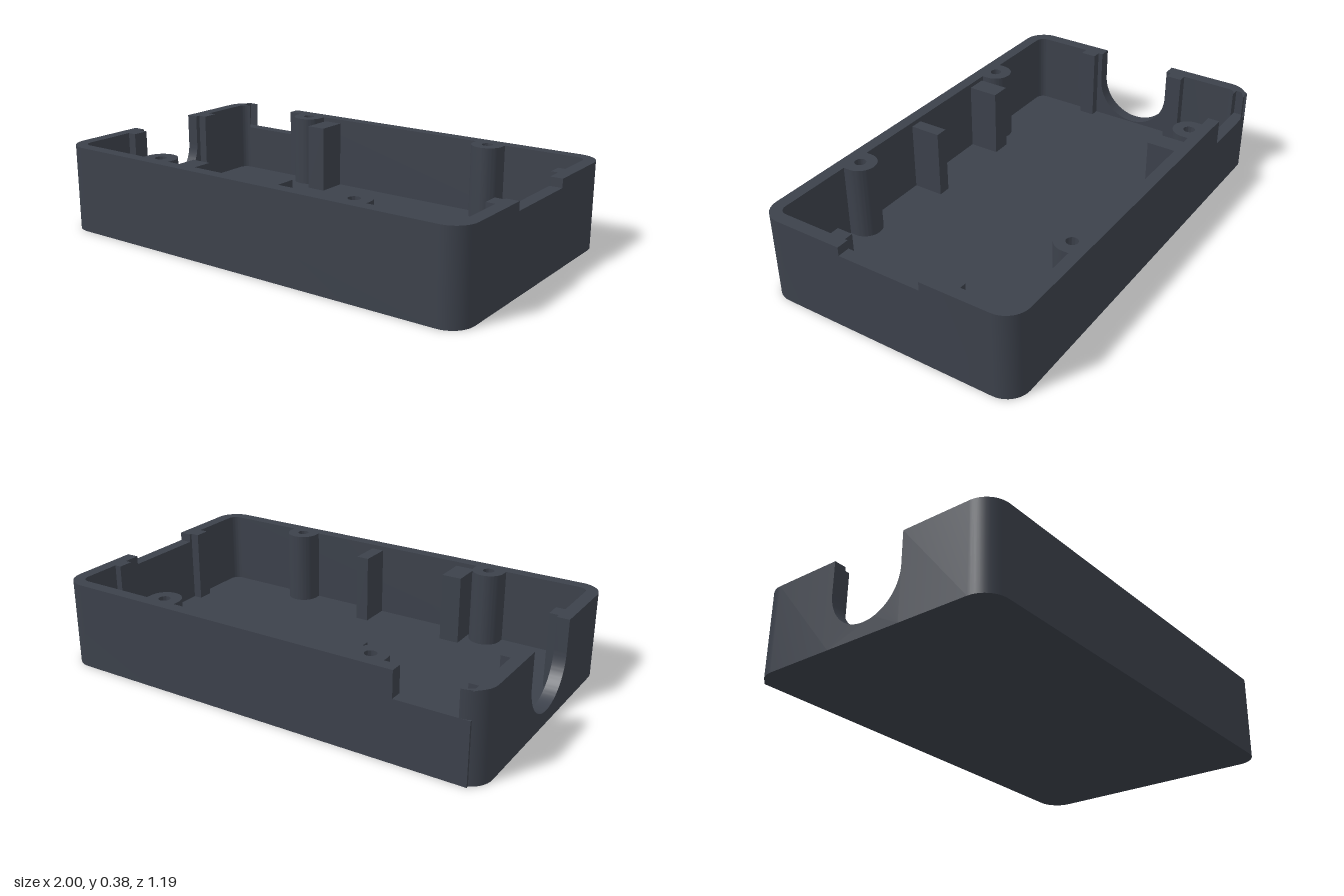
import * as THREE from 'three';
import { toCreasedNormals } from 'three/addons/utils/BufferGeometryUtils.js';

const W = 1, D = 0.593, H = 0.383;      // outer half width, half depth, height
const IW = 0.945, ID = 0.54;            // inner half width and depth
const FLOOR = 0.055;

// Arc points of one plan corner: 0 = +x+z, 1 = -x+z, 2 = -x-z, 3 = +x-z
function corner(k, hw, hd, r) {
  const sx = k === 0 || k === 3 ? 1 : -1;
  const sz = k < 2 ? 1 : -1;
  const pts = [];
  for (let i = 0; i <= 10; i++) {
    const a = (k + i / 10) * Math.PI / 2;
    pts.push(new THREE.Vector2(sx * (hw - r) + r * Math.cos(a), sz * (hd - r) + r * Math.sin(a)));
  }
  return pts;
}
const outer = (k) => corner(k, W, D, 0.1);
const inner = (k) => corner(k, IW, ID, 0.04);

// Extrude an (x, z) plan upwards from y0 to y1
function extrudeUp(shape, y0, y1) {
  const g = new THREE.ExtrudeGeometry(shape, { depth: y1 - y0, bevelEnabled: false, curveSegments: 24 });
  g.rotateX(Math.PI / 2);
  g.translate(0, y1, 0);
  return toCreasedNormals(g, 0.5);
}

// Wall strip that runs round the given corners between two cut ends
function wallStrip(corners, outStart, inStart, outEnd, inEnd) {
  const v = (p) => new THREE.Vector2(p[0], p[1]);
  const out = [v(outStart), ...corners.flatMap(outer), v(outEnd)];
  const back = [v(inStart), ...corners.flatMap(inner), v(inEnd)].reverse();
  return extrudeUp(new THREE.Shape([...out, ...back]), 0, H);
}

export function createModel() {
  const group = new THREE.Group();
  const plastic = new THREE.MeshStandardMaterial({ color: 0x3c414b });
  plastic.name = 'dark slate plastic';

  const add = (name, geometry) => {
    const mesh = new THREE.Mesh(geometry, plastic);
    mesh.name = name;
    group.add(mesh);
    return mesh;
  };
  const block = (name, x0, x1, y0, y1, z0, z1) =>
    add(name, new THREE.BoxGeometry(x1 - x0, y1 - y0, z1 - z0))
      .position.set((x0 + x1) / 2, (y0 + y1) / 2, (z0 + z1) / 2);

  // Floor
  add('floor', extrudeUp(new THREE.Shape([0, 1, 2, 3].flatMap(inner)), 0, FLOOR));

  // Full-height walls between the openings
  const u = 0.178, n = 0.187, gap = -0.635;
  add('frontWall', wallStrip([0, 1], [W, n], [IW, n], [-W, u], [-IW, u]));
  add('backRightCornerWall', wallStrip([2], [-W, -u], [-IW, -u], [-IW, -D], [-IW, -ID]));
  add('backWall', wallStrip([3], [gap, -D], [gap, -ID], [W, -n], [IW, -n]));

  // Lower walls under the rectangular notches
  block('backNotchSill', -IW, gap, 0, 0.268, -D, -ID);
  block('sideNotchSill', IW, W, 0, 0.345, -n, n);

  // Wall below the round-bottomed cable opening
  const cy = 0.06 + u;
  const sill = new THREE.Shape();
  sill.moveTo(-u, 0);
  sill.lineTo(u, 0);
  sill.lineTo(u, cy);
  sill.absarc(0, cy, u, 0, -Math.PI, true);
  const sillGeo = new THREE.ExtrudeGeometry(sill, { depth: W - IW, bevelEnabled: false, curveSegments: 32 });
  sillGeo.rotateY(-Math.PI / 2);
  sillGeo.translate(-IW, 0, 0);
  add('cableOpeningSill', toCreasedNormals(sillGeo, 0.5));

  // Screw bosses merged into the long walls
  const r = 0.072, cz = 0.513;
  const boss = new THREE.Shape();
  boss.moveTo(r, ID);
  boss.lineTo(-r, ID);
  boss.absarc(0, cz, r, Math.PI, Math.PI * 2, false);
  const hole = new THREE.Path();
  hole.absarc(0, cz, 0.025, 0, Math.PI * 2, true);
  boss.holes.push(hole);
  const bossGeo = extrudeUp(boss, FLOOR, H);
  for (const x of [-0.496, 0.496]) {
    for (const turn of [0, Math.PI]) {
      const b = add('screwBoss', bossGeo);
      b.position.x = x;
      b.rotation.y = turn;
    }
  }

  // Support blocks on the long walls
  const top = 0.364;
  block('backSupport', -0.415, -0.325, FLOOR, top, -ID, -0.4);
  block('frontSupport', -0.415, -0.325, FLOOR, top, 0.4, ID);
  block('frontNarrowSupport', 0.06, 0.118, FLOOR, top, 0.4, ID);

  // Ribs on the short walls
  block('rightRib', -IW, -0.905, FLOOR, H, -0.272, -0.2);
  block('rightRib', -IW, -0.905, FLOOR, H, 0.2, 0.272);
  block('leftRib', 0.915, IW, FLOOR, H, -0.33, -0.262);
  block('leftRib', 0.905, IW, FLOOR, H, 0.2, 0.27);

  return group;
}
